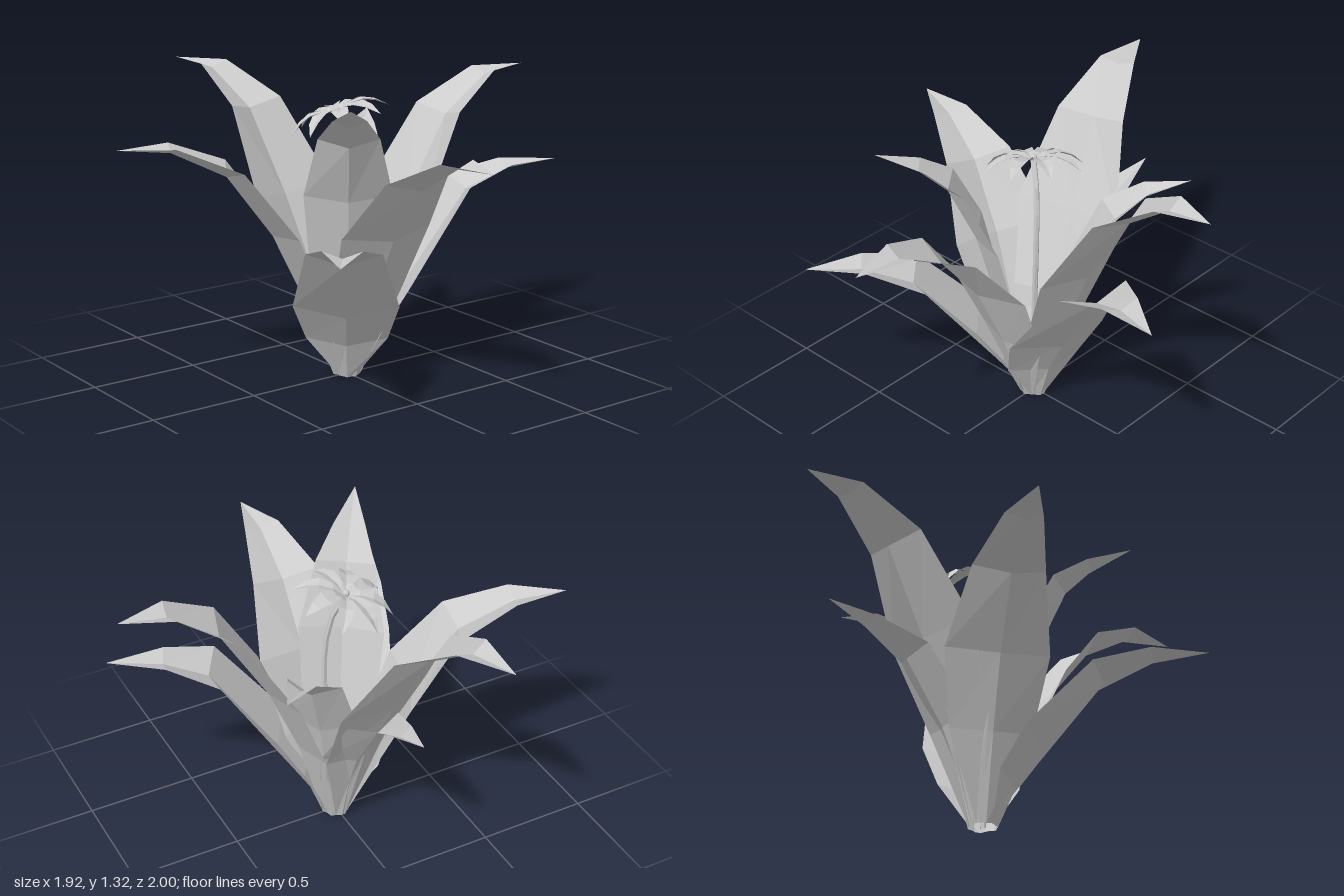
import * as THREE from 'three';

const gray = new THREE.MeshStandardMaterial({ color: 0xcccccc, side: THREE.DoubleSide, flatShading: true });
gray.name = 'plain gray';

// Folded blade in its own frame: +x runs outward, y up, z across.
// Each station is [reach, height, half width, fold depth].
function bladeGeometry(stations) {
  const pos = [], index = [];
  stations.forEach(([r, y, w, fold], i) => {
    const a = stations[Math.max(i - 1, 0)], b = stations[Math.min(i + 1, stations.length - 1)];
    const dx = b[0] - a[0], dy = b[1] - a[1], len = Math.hypot(dx, dy);
    // edges lie inward of and above the midrib
    const ex = r - (dy / len) * fold, ey = y + (dx / len) * fold;
    pos.push(ex, ey, -w, r, y, 0, ex, ey, w);
    if (i === 0) return;
    for (let k = 0; k < 2; k++) {
      const p = (i - 1) * 3 + k, q = p + 3;
      index.push(p, p + 1, q, p + 1, q + 1, q);
    }
  });
  const g = new THREE.BufferGeometry();
  g.setAttribute('position', new THREE.Float32BufferAttribute(pos, 3));
  g.setIndex(index);
  const flat = g.toNonIndexed();
  flat.computeVertexNormals();
  return flat;
}

function part(name, geometry, parent) {
  const mesh = new THREE.Mesh(geometry, gray);
  mesh.name = name;
  parent.add(mesh);
  return mesh;
}

// Leaves: tip x, tip z, half widths, then midrib points [reach, height] from low to tip
const broad = [0.04, 0.18, 0.245, 0.16, 0.083, 0];
const wide = [0.04, 0.18, 0.23, 0.16, 0.083, 0];
const medium = [0.04, 0.16, 0.19, 0.13, 0.07, 0];
const narrow = [0.04, 0.12, 0.15, 0.12, 0.06, 0];
const leaves = [
  [-0.25, -1.0, broad, [[0.19, 0.42], [0.36, 0.77], [0.57, 1.135], [0.8, 1.295], [1.03, 1.32]]],
  [0.96, 0.04, wide, [[0.18, 0.42], [0.32, 0.76], [0.53, 1.12], [0.75, 1.28], [0.96, 1.31]]],
  [-0.96, -0.31, wide, [[0.2, 0.36], [0.34, 0.66], [0.54, 0.935], [0.78, 1.055], [1.01, 1.08]]],
  [-0.03, 1.0, wide, [[0.19, 0.36], [0.34, 0.68], [0.54, 0.935], [0.77, 1.07], [1.0, 1.09]]],
  [0.92, 0.33, wide, [[0.14, 0.2], [0.26, 0.4], [0.55, 0.81], [0.74, 0.89], [0.98, 0.92]]],
  [-0.61, 0.78, wide, [[0.14, 0.17], [0.26, 0.335], [0.53, 0.64], [0.75, 0.735], [0.99, 0.76]]],
  [-0.39, 0.55, medium, [[0.15, 0.45], [0.25, 0.84], [0.37, 1.1], [0.49, 1.21], [0.67, 1.31]]],
  [0.47, -0.48, narrow, [[0.14, 0.3], [0.23, 0.62], [0.35, 0.9], [0.49, 1.02], [0.67, 1.08]]],
  [0, -0.76, narrow, [[0.13, 0.25], [0.2, 0.42], [0.38, 0.7], [0.57, 0.81], [0.76, 0.89]]],
];
const folds = [0.02, 0.05, 0.06, 0.055, 0.03, 0];

export function createModel() {
  const model = new THREE.Group();
  model.name = 'floweringPlant';

  leaves.forEach(([x, z, widths, midrib]) => {
    const stations = [[0.065, 0], ...midrib].map(([r, y], i) => [r, y, widths[i], folds[i]]);
    const leaf = part('leaf', bladeGeometry(stations), model);
    leaf.rotation.y = Math.atan2(-z, x);
  });

  // Curved flower stem
  const stemPath = new THREE.CatmullRomCurve3([
    new THREE.Vector3(0, 0, 0), new THREE.Vector3(0.02, 0.4, 0.02),
    new THREE.Vector3(0.04, 0.8, 0.03), new THREE.Vector3(0.02, 1.05, 0.005),
    new THREE.Vector3(-0.03, 1.18, -0.03),
  ]);
  part('stem', new THREE.TubeGeometry(stemPath, 10, 0.013, 6), model);

  // Tilted flower head with eight drooping, pointed petals
  const flower = new THREE.Group();
  flower.name = 'flower';
  flower.position.set(-0.03, 1.18, -0.03);
  flower.quaternion.setFromUnitVectors(new THREE.Vector3(0, 1, 0), new THREE.Vector3(-0.24, 1, -0.2).normalize());
  const petal = bladeGeometry([
    [0.005, 0, 0.006, 0.002], [0.06, 0.018, 0.024, 0.008], [0.12, 0.018, 0.038, 0.01],
    [0.17, 0, 0.026, 0.007], [0.225, -0.04, 0, 0],
  ]);
  for (let i = 0; i < 8; i++) {
    part('petal', petal, flower).rotation.y = (i / 8) * Math.PI * 2 + 0.3;
  }
  part('flowerCentre', new THREE.SphereGeometry(0.016, 8, 6), flower).position.y = 0.01;
  model.add(flower);
  return model;
}
